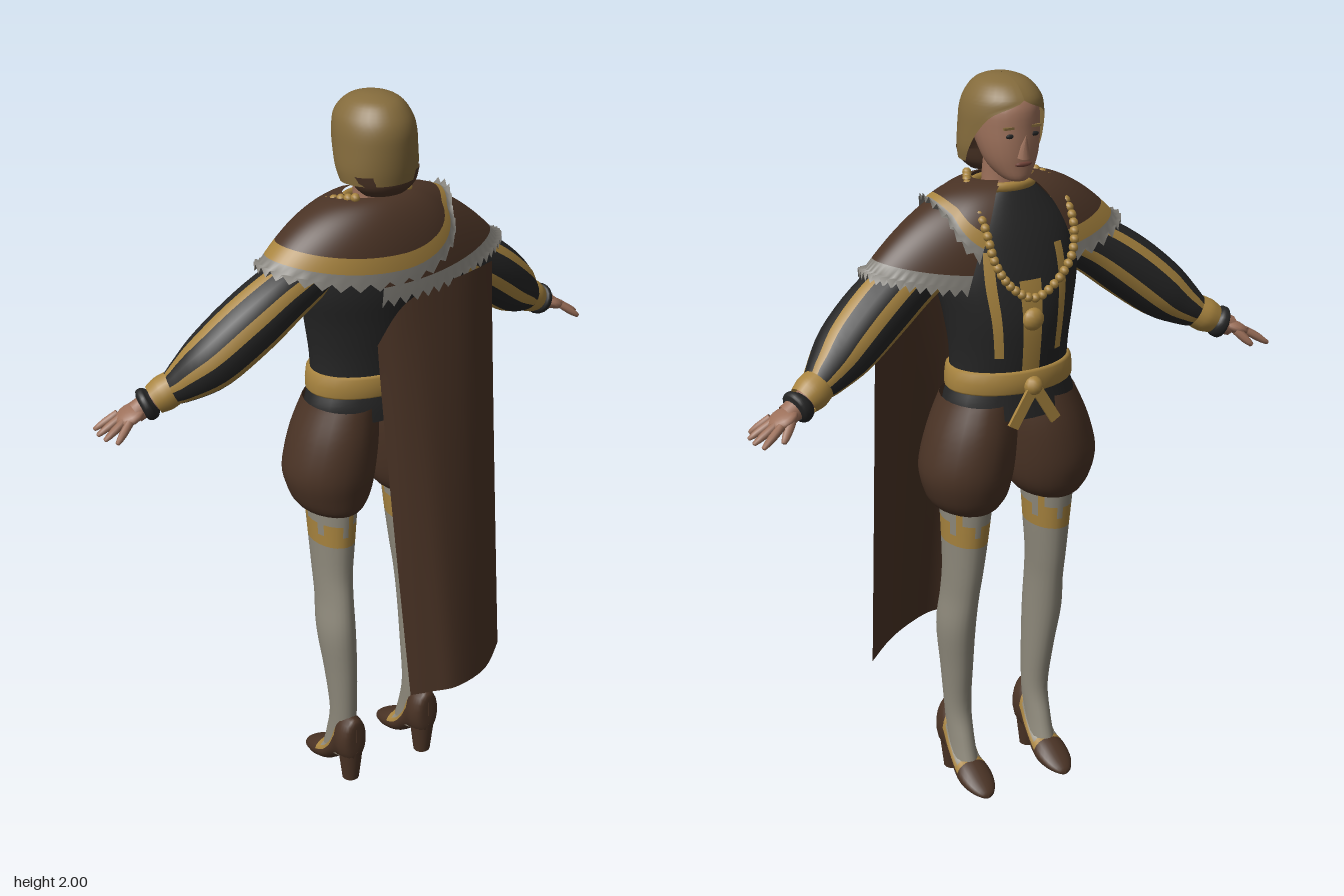
import * as THREE from 'three';

const mat = (name, color) => {
  const m = new THREE.MeshStandardMaterial({ color, side: THREE.DoubleSide });
  m.name = name;
  return m;
};
const M = {
  brown: mat('brown cloth', 0x4a3325), black: mat('black cloth', 0x252525),
  gold: mat('gold trim', 0xa8843f), silver: mat('silver lace', 0x85827b),
  stocking: mat('pale stocking', 0x8f8a7c), skin: mat('skin', 0x9c705a),
  hair: mat('blond hair', 0x846b3c), lips: mat('lips', 0x74453a),
};
const PI = Math.PI, V = (x, y, z) => new THREE.Vector3(x, y, z);

function add(parent, name, geo, material, pos) {
  const mesh = new THREE.Mesh(geo, material);
  mesh.name = name;
  if (pos) mesh.position.set(...pos);
  parent.add(mesh);
  return mesh;
}

// Catmull-Rom blend of a list of number rows, t in 0..1
function blend(rows, t) {
  const n = rows.length - 1, k = Math.min(Math.floor(t * n), n - 1), f = t * n - k;
  const [a, b, c, d] = [-1, 0, 1, 2].map(o => rows[Math.max(0, Math.min(n, k + o))]);
  return b.map((p, i) => p + 0.5 * f * (c[i] - a[i] + f * (2 * a[i] - 5 * p + 4 * c[i] - d[i]
    + f * (3 * (p - c[i]) + d[i] - a[i]))));
}

// Grid surface from point(u, v, i, j); pick(i, j) names the colour of each cell
function sheet(parent, name, nu, nv, closed, point, pick) {
  const pos = [], w = closed ? nu : nu + 1, faces = {};
  for (let j = 0; j <= nv; j++)
    for (let i = 0; i < w; i++) pos.push(...point(i / nu, j / nv, i, j));
  for (let j = 0; j < nv; j++)
    for (let i = 0; i < nu; i++) {
      const e = (i + 1) % w, a = j * w + i, b = j * w + e, c = b + w, d = a + w;
      const key = typeof pick === 'string' ? pick : pick(i, j);
      (faces[key] ??= []).push(a, b, c, a, c, d);
    }
  const geo = new THREE.BufferGeometry(), keys = Object.keys(faces);
  geo.setAttribute('position', new THREE.Float32BufferAttribute(pos, 3));
  geo.setIndex(keys.flatMap(k => faces[k]));
  let start = 0;
  keys.forEach((k, n) => { geo.addGroup(start, faces[k].length, n); start += faces[k].length; });
  geo.computeVertexNormals();
  return add(parent, name, geo, keys.map(k => M[k]));
}

// Upright body part from rings [y, centre x, half width, front z, back z], bottom up
function loft(parent, name, rings, pick, nu = 24, sub = 4) {
  return sheet(parent, name, nu, (rings.length - 1) * sub, true, (u, v) => {
    const [y, cx, rx, zf, zb] = blend(rings, v), a = u * 2 * PI;
    return [cx + rx * Math.sin(a), y, (zf + zb) / 2 + (zb - zf) / 2 * Math.cos(a)];
  }, pick);
}

// Limb along a path [x, y, z, radius]
function limb(parent, name, path, pick, nu = 18, sub = 4) {
  const at = t => blend(path, t), p3 = t => V(...at(t).slice(0, 3));
  return sheet(parent, name, nu, (path.length - 1) * sub, true, (u, v) => {
    const d = p3(Math.min(1, v + 0.01)).sub(p3(Math.max(0, v - 0.01))).normalize();
    const B = V(0, 1, 0).cross(d).normalize(), A = B.clone().cross(d).negate();
    const r = at(v)[3], a = u * 2 * PI;
    // A x B follows the path, so faces point outwards
    return p3(v).addScaledVector(A, -r * Math.cos(a)).addScaledVector(B, -r * Math.sin(a)).toArray();
  }, pick);
}

// Shoulder mantle; hem(angle) gives [half width, y]; angle 0 is the back
function mantle(parent, name, a0, a1, hem, lift) {
  const nu = 64, nv = 16;
  sheet(parent, name, nu, nv, false, (u, v, i, j) => {
    const a = a0 + (a1 - a0) * u, t = 1 - v, [rx, hy] = hem(a), tooth = j === 0 ? (i % 2) * 0.022 : 0;
    const x = (0.085 + (rx - 0.085) * t) * Math.sin(a), s = Math.sin(t * PI / 2);
    return [x, 1.73 + lift - (1.73 - hy) * Math.pow(t, 1.8) + tooth,
      -0.06 - 0.01 * s + (0.06 + (0.085 + lift) * s) * Math.cos(a)];
  }, (i, j) => j < 2 ? 'silver' : j < 4 && lift ? 'gold' : 'brown');
}

function buildHead(g) {
  const head = new THREE.Group();
  head.name = 'head';
  g.add(head);
  loft(head, 'neck', [[1.66, 0, 0.07, -0.12, 0], [1.72, 0, 0.055, -0.11, -0.01],
    [1.79, 0, 0.052, -0.11, -0.01]], 'skin');
  loft(head, 'face', [[1.742, 0, 0.002, -0.14, -0.13], [1.748, 0, 0.032, -0.163, -0.09],
    [1.78, 0, 0.06, -0.168, -0.04], [1.82, 0, 0.076, -0.17, -0.01], [1.87, 0, 0.085, -0.168, 0.02],
    [1.93, 0, 0.083, -0.16, 0.03], [1.97, 0, 0.05, -0.12, 0]], 'skin');
  const nose = add(head, 'nose', new THREE.ConeGeometry(0.019, 0.06, 10), M.skin, [0, 1.838, -0.172]);
  nose.rotation.x = -0.25;
  add(head, 'mouth', new THREE.SphereGeometry(1, 12, 8), M.lips, [0, 1.79, -0.166]).scale.set(0.024, 0.007, 0.006);
  for (const s of [-1, 1]) {
    add(head, 'eye', new THREE.SphereGeometry(1, 10, 8), M.black, [s * 0.034, 1.862, -0.16]).scale.set(0.013, 0.006, 0.004);
    add(head, 'eyebrow', new THREE.BoxGeometry(0.034, 0.006, 0.008), M.hair, [s * 0.035, 1.882, -0.159]);
  }
  // Bobbed hair [y, half width, front z, back z, opening angle]
  const bob = [[1.785, 0.104, -0.13, 0.055, 1.75], [1.82, 0.109, -0.15, 0.06, 1.85], [1.87, 0.107, -0.165, 0.063, 2.05],
    [1.915, 0.103, -0.172, 0.062, 2.4], [1.95, 0.092, -0.168, 0.05, PI], [1.982, 0.066, -0.135, 0.022, PI],
    [1.997, 0.03, -0.09, -0.02, PI], [2, 0.001, -0.056, -0.054, PI]];
  sheet(head, 'hair', 32, 28, false, (u, v) => {
    const [y, rx, zf, zb, open] = blend(bob, v), a = (2 * u - 1) * Math.min(open, PI);
    return [rx * Math.sin(a), y, (zf + zb) / 2 + (zb - zf) / 2 * Math.cos(a)];
  }, 'hair');
  loft(head, 'napeHair', [[1.752, 0, 0.06, -0.05, 0.035], [1.775, 0, 0.085, -0.06, 0.052],
    [1.81, 0, 0.098, -0.06, 0.053]], 'brown');
}

function buildTorso(g) {
  loft(g, 'doublet', [[1.19, 0, 0.165, -0.2, 0.02], [1.3, 0, 0.165, -0.215, 0.025], [1.4, 0, 0.18, -0.22, 0.035],
    [1.5, 0, 0.2, -0.205, 0.045], [1.6, 0, 0.185, -0.175, 0.035], [1.68, 0, 0.12, -0.14, 0.01],
    [1.725, 0, 0.07, -0.115, -0.005]],
  (i, j) => (Math.abs(i - 19.5) < 1 && j < 12) || ((i === 16 || i === 23) && j > 3 && j < 15) ? 'gold' : 'black', 40);
  loft(g, 'peplum', [[1.13, 0, 0.19, -0.222, 0.035], [1.17, 0, 0.184, -0.215, 0.032], [1.21, 0, 0.168, -0.21, 0.025]], 'black');
  loft(g, 'belt', [[1.2, 0, 0.17, -0.21, 0.024], [1.205, 0, 0.178, -0.222, 0.034],
    [1.255, 0, 0.174, -0.222, 0.034], [1.26, 0, 0.16, -0.21, 0.024]], 'gold', 32, 2);
  add(g, 'beltKnot', new THREE.SphereGeometry(0.026, 12, 8), M.gold, [0, 1.22, -0.222]);
  for (const s of [-1, 1]) {
    const tail = add(g, 'beltTail', new THREE.BoxGeometry(0.03, 0.11, 0.009), M.gold, [s * 0.035, 1.165, -0.23]);
    tail.rotation.z = s * 0.55;
  }
  // Collar, chain and pendant
  const collar = add(g, 'collar', new THREE.TorusGeometry(0.08, 0.013, 8, 32), M.gold, [0, 1.722, -0.06]);
  collar.rotation.x = PI / 2;
  collar.scale.y = 0.75;
  const half = [[0.08, 1.745, -0.02], [0.115, 1.725, -0.09], [0.125, 1.65, -0.195], [0.11, 1.56, -0.225], [0.06, 1.49, -0.228]];
  const chain = new THREE.CatmullRomCurve3([...half, [0, 1.46, -0.23],
    ...half.map(([x, y, z]) => [-x, y, z]).reverse()].map(p => V(...p)));
  chain.getSpacedPoints(44).forEach(p =>
    add(g, 'chainLink', new THREE.SphereGeometry(0.0125, 8, 6), M.gold, p.toArray()));
  add(g, 'pendant', new THREE.SphereGeometry(0.03, 14, 10), M.gold, [0, 1.4, -0.22]).scale.z = 0.7;

  // Lower mantle over the left shoulder, upper mantle over back and right shoulder
  mantle(g, 'lowerMantle', -0.15, PI - 0.45, a => [0.41, 1.53 - 0.06 * Math.cos(a) ** 2], 0);
  mantle(g, 'upperMantle', -PI + 0.4, PI - 0.5, a => {
    const s = Math.sin(a) ** 2;
    return a < 0 ? [0.34, 1.51 + 0.06 * s] : [0.34 - 0.11 * Math.min(1, s * 1.3), 1.51 + 0.18 * s];
  }, 0.012);

  // Cape columns [x, top z, bottom z, top y, bottom y]
  const cols = [[-0.06, 0.05, 0.21, 1.36, 0.37], [0, 0.062, 0.228, 1.45, 0.37], [0.08, 0.066, 0.24, 1.49, 0.365],
    [0.21, 0.056, 0.19, 1.5, 0.35], [0.325, 0.02, 0.095, 1.5, 0.345]];
  sheet(g, 'cape', 16, 16, false, (u, v) => {
    const [x, zt, zb, yt, yb] = blend(cols, u);
    return [x, yb + (yt - yb) * v, zt + (zb - zt) * Math.pow(1 - v, 1.1)];
  }, 'brown');
}

function buildArm(g, s) {
  const arm = new THREE.Group();
  arm.name = s > 0 ? 'leftArm' : 'rightArm';
  g.add(arm);
  const mir = rows => rows.map(([x, ...r]) => [s * x, ...r]);
  limb(arm, 'sleeve', mir([[0.18, 1.56, -0.07, 0.07], [0.27, 1.515, -0.07, 0.08], [0.37, 1.445, -0.08, 0.086],
    [0.47, 1.365, -0.1, 0.079], [0.54, 1.313, -0.125, 0.055], [0.575, 1.292, -0.14, 0.038]]),
  i => i % 3 === 0 ? 'gold' : 'black');
  limb(arm, 'cuff', mir([[0.56, 1.302, -0.135, 0.045], [0.585, 1.287, -0.143, 0.047], [0.61, 1.273, -0.15, 0.04]]), 'gold');
  limb(arm, 'laceBand', mir([[0.61, 1.273, -0.15, 0.03], [0.62, 1.267, -0.154, 0.043], [0.635, 1.26, -0.158, 0.043],
    [0.642, 1.257, -0.16, 0.03]]), 'black');
  limb(arm, 'wrist', mir([[0.6, 1.278, -0.15, 0.03], [0.66, 1.247, -0.16, 0.028]]), 'skin', 12);
  const palm = add(arm, 'palm', new THREE.SphereGeometry(1, 14, 10), M.skin, [s * 0.672, 1.243, -0.163]);
  palm.scale.set(0.042, 0.018, 0.042);
  palm.rotation.z = -s * 0.45;
  const digit = (name, a, b, r) => limb(arm, name, mir([[...a, r], [...a.map((p, i) => p * 0.45 + b[i] * 0.55), r],
    [...b, r * 0.55], [...b, 0.0005]]), 'skin', 8, 2);
  [-0.198, -0.175, -0.152, -0.13].forEach((z, i) => digit('finger', [0.69, 1.238, z],
    [[0.748, 0.757, 0.755, 0.738][i], 1.2, -0.165 + (z + 0.165) * 1.6], 0.0105));
  digit('thumb', [0.66, 1.242, -0.19], [0.695, 1.203, -0.218], 0.012);
}

function buildLeg(g, s) {
  const leg = new THREE.Group(), c = s * 0.125;
  leg.name = s > 0 ? 'leftLeg' : 'rightLeg';
  g.add(leg);
  loft(leg, 'breeches', [[0.855, c, 0.06, -0.17, 0.005], [0.87, c, 0.088, -0.19, 0.02], [0.91, c, 0.112, -0.21, 0.03],
    [0.98, c, 0.126, -0.225, 0.042], [1.08, s * 0.108, 0.117, -0.222, 0.042], [1.17, s * 0.09, 0.094, -0.205, 0.03]], 'brown');
  // Stocking with a ragged gold garter below the breeches
  loft(leg, 'stocking', [[0.07, c, 0.036, -0.12, 0], [0.13, c, 0.034, -0.1, 0.005], [0.22, c, 0.036, -0.078, 0.012],
    [0.35, s * 0.13, 0.042, -0.095, 0.02], [0.48, s * 0.137, 0.049, -0.118, 0.022], [0.58, s * 0.133, 0.046, -0.135, 0.01],
    [0.66, s * 0.13, 0.049, -0.15, 0], [0.76, s * 0.127, 0.056, -0.165, 0.003], [0.88, c, 0.064, -0.182, 0.01]],
  (i, j) => j === 28 || (j === 29 && i % 4 < 3) || (j > 28 && i % 8 === 0) ? 'gold' : 'stocking');
  // Heeled shoe sections [z, bottom y, top y, half width], heel to toe
  const shoe = [[0.037, 0.13, 0.18, 0.001], [0.034, 0.08, 0.205, 0.03], [0.01, 0.06, 0.21, 0.045], [-0.02, 0.055, 0.205, 0.043],
    [-0.045, 0.045, 0.14, 0.042], [-0.085, 0.015, 0.088, 0.043], [-0.13, 0.002, 0.07, 0.049], [-0.175, 0.002, 0.045, 0.04],
    [-0.205, 0.003, 0.024, 0.02], [-0.212, 0.006, 0.012, 0.001]];
  sheet(leg, 'shoe', 18, 27, true, (u, v) => {
    const [z, lo, hi, w] = blend(shoe, v), a = u * 2 * PI;
    return [c + w * Math.sin(a), (lo + hi) / 2 + (hi - lo) / 2 * Math.cos(a), z];
  }, (i, j) => {
    const top = Math.min(i, 17 - i);
    return j > 9 && j < 16 && top < 3 ? 'stocking' : (j > 8 && j < 17 && top < 4) ? 'gold' : 'brown';
  });
  add(leg, 'heel', new THREE.CylinderGeometry(0.036, 0.024, 0.1, 14), M.brown, [c, 0.05, 0.002]);
}

export function createModel() {
  const g = new THREE.Group();
  g.name = 'figure';
  buildHead(g);
  buildTorso(g);
  for (const s of [-1, 1]) {
    buildArm(g, s);
    buildLeg(g, s);
  }
  return g;
}
